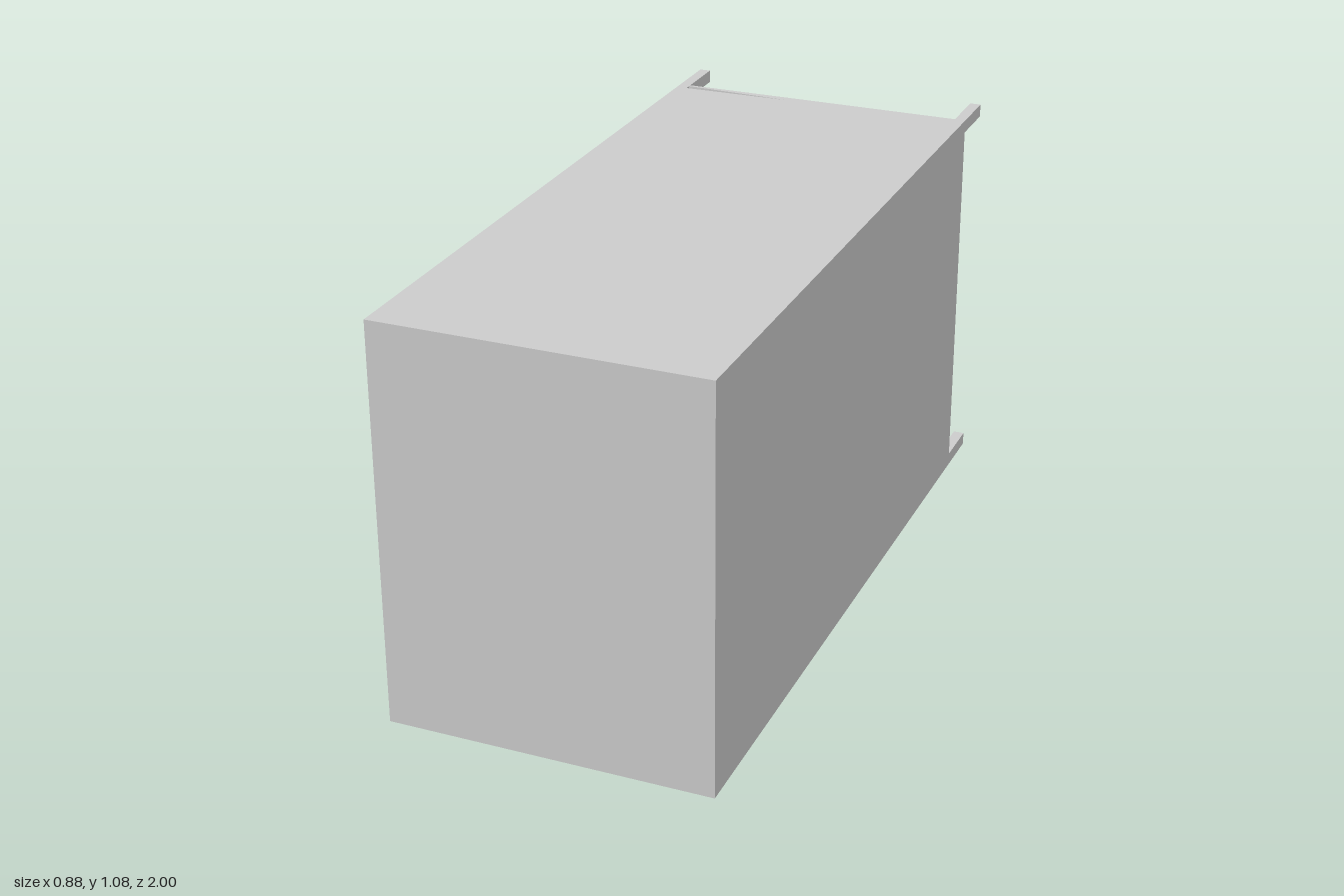
import * as THREE from 'three';

const material = new THREE.MeshStandardMaterial({ color: 0xcccccc });

function add(group, name, geometry, x, y, z) {
  const mesh = new THREE.Mesh(geometry, material);
  mesh.name = name;
  mesh.position.set(x, y, z);
  group.add(mesh);
  return mesh;
}

export function createModel() {
  const group = new THREE.Group();
  group.name = 'cabinet';
  const left = 0.44, right = -0.42, height = 1.075, front = 1, back = -0.85;
  const skin = 0.035, rail = 0.03;
  const midX = (left + right) / 2, midZ = (front + back) / 2;

  // Main box between the top and bottom panels
  add(group, 'body', new THREE.BoxGeometry(left - right, height - 2 * skin, front - back),
    midX, height / 2, midZ);

  // Top and bottom panels, each with a thin tapering slit near the back edge
  const outline = new THREE.Shape([
    new THREE.Vector2(right, back), new THREE.Vector2(left, back),
    new THREE.Vector2(left, front), new THREE.Vector2(right, front),
  ]);
  outline.holes.push(new THREE.Path([
    new THREE.Vector2(right + rail, -0.841), new THREE.Vector2(right + rail, -0.822),
    new THREE.Vector2(-0.08, -0.828),
  ]));
  const panel = new THREE.ExtrudeGeometry(outline, { depth: skin, bevelEnabled: false });
  panel.rotateX(Math.PI / 2);
  add(group, 'topPanel', panel, 0, height, 0);
  add(group, 'bottomPanel', panel, 0, skin, 0);

  // Four corner rails reaching out behind the body
  const railGeometry = new THREE.BoxGeometry(rail, skin, back + 1);
  for (const x of [left - rail / 2, right + rail / 2]) {
    for (const y of [skin / 2, height - skin / 2]) {
      add(group, 'rearRail', railGeometry, x, y, (back - 1) / 2);
    }
  }

  // Row of round pegs on the right side
  const peg = new THREE.CylinderGeometry(0.021, 0.021, 0.02, 24);
  peg.rotateZ(Math.PI / 2);
  for (let i = 0; i < 5; i++) {
    add(group, 'sidePeg', peg, right - 0.01, height / 2, -0.655 + i * 0.364);
  }
  return group;
}
